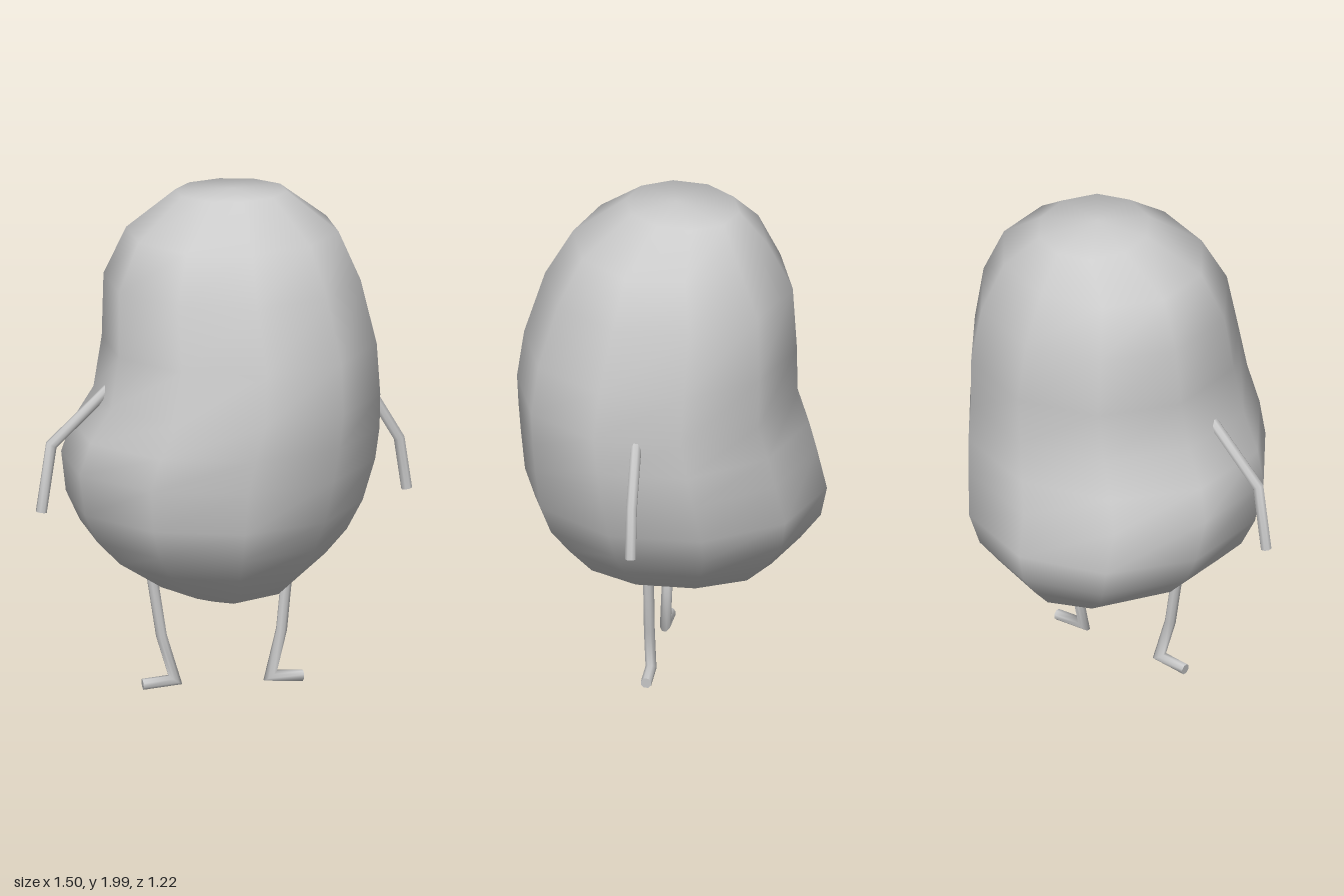
import * as THREE from 'three';

const material = new THREE.MeshStandardMaterial({ color: 0xcccccc, side: THREE.DoubleSide });

// Join equal-sized loops of points into a closed skin with fan caps at the two end points
function loft(loops, startPoint, endPoint, capsSmooth) {
  const n = loops[0].length;
  const all = capsSmooth ? loops : [loops[0], ...loops, loops[loops.length - 1]];
  const positions = [], index = [];
  all.forEach(loop => loop.forEach(p => positions.push(...p)));
  const first = all.length * n, last = first + 1;
  positions.push(...startPoint, ...endPoint);
  const from = capsSmooth ? 0 : 1, to = all.length - (capsSmooth ? 1 : 2);
  for (let i = from; i < to; i++) {
    for (let j = 0; j < n; j++) {
      const k = (j + 1) % n;
      const a = i * n + j, b = i * n + k, c = a + n, d = b + n;
      index.push(a, c, b, b, c, d);
    }
  }
  for (let j = 0; j < n; j++) {
    const k = (j + 1) % n, top = (all.length - 1) * n;
    index.push(first, j, k, last, top + k, top + j);
  }
  const geometry = new THREE.BufferGeometry();
  geometry.setAttribute('position', new THREE.Float32BufferAttribute(positions, 3));
  geometry.setIndex(index);
  geometry.computeVertexNormals();
  return geometry;
}

// Ten-sided bean body, rings from top to bottom: y, xMin, xMax, zMin, zMax, tilt
function bodyGeometry() {
  const rings = [
    [1.987, -0.16, 0.26, -0.27, 0.18, 0.06],
    [1.84, -0.355, 0.445, -0.38, 0.39, 0],
    [1.65, -0.44, 0.525, -0.48, 0.50, 0],
    [1.40, -0.45, 0.58, -0.50, 0.58, 0],
    [1.20, -0.485, 0.59, -0.50, 0.61, 0],
    [1.06, -0.565, 0.59, -0.54, 0.61, 0],
    [0.93, -0.605, 0.575, -0.567, 0.605, 0],
    [0.76, -0.58, 0.53, -0.605, 0.59, 0],
    [0.64, -0.525, 0.47, -0.58, 0.55, 0],
    [0.54, -0.43, 0.39, -0.50, 0.47, 0],
    [0.43, -0.26, 0.27, -0.39, 0.37, 0],
    [0.387, -0.12, 0.12, -0.25, 0.25, 0],
  ];
  const sides = 10, widest = Math.cos(Math.PI / 10);
  const loops = rings.map(([y, x0, x1, z0, z1, tilt]) =>
    Array.from({ length: sides }, (_, j) => {
      const a = -j / sides * Math.PI * 2;
      const x = (x0 + x1) / 2 + Math.sin(a) * (x1 - x0) / 2 / widest;
      const z = (z0 + z1) / 2 + Math.cos(a) * (z1 - z0) / 2;
      return [x, y + tilt * z, z];
    })).map(loop => loop.reverse());
  return loft(loops, [0.05, 2, -0.02], [-0.01, 0.37, 0], true);
}

// Round limb with mitred bends, following a path in the x-y plane
function limbGeometry(path, radius = 0.022, z = 0.06) {
  const pts = path.map(p => new THREE.Vector2(...p));
  const sides = 8;
  const loops = pts.map((p, i) => {
    const before = pts[Math.max(i - 1, 0)], after = pts[Math.min(i + 1, pts.length - 1)];
    const d1 = (i ? p.clone().sub(before) : after.clone().sub(p)).normalize();
    const d2 = (i < pts.length - 1 ? after.clone().sub(p) : d1.clone()).normalize();
    const tangent = d1.clone().add(d2).normalize();
    const stretch = radius / tangent.dot(d1);
    return Array.from({ length: sides }, (_, j) => {
      const a = (j + 0.5) / sides * Math.PI * 2;
      const s = Math.cos(a) * stretch;
      return [p.x - tangent.y * s, p.y + tangent.x * s, z - Math.sin(a) * radius];
    }).reverse();
  });
  return loft(loops, [...path[0], z], [...path[path.length - 1], z], false);
}

export function createModel() {
  const group = new THREE.Group();
  const add = (name, geometry) => {
    const mesh = new THREE.Mesh(geometry, material);
    mesh.name = name;
    group.add(mesh);
  };

  add('body', bodyGeometry());

  // Arms: shoulder, elbow, hand
  add('rightArm', limbGeometry([[-0.44, 1.255], [-0.69, 1.02], [-0.73, 0.75]]));
  add('leftArm', limbGeometry([[0.56, 1.21], [0.70, 0.97], [0.73, 0.765]]));

  // Legs: hip, knee, ankle, toe
  add('rightLeg', limbGeometry([[-0.29, 0.48], [-0.25, 0.22], [-0.195, 0.038], [-0.325, 0.026]]));
  add('leftLeg', limbGeometry([[0.255, 0.48], [0.23, 0.22], [0.185, 0.034], [0.315, 0.026]]));

  return group;
}
